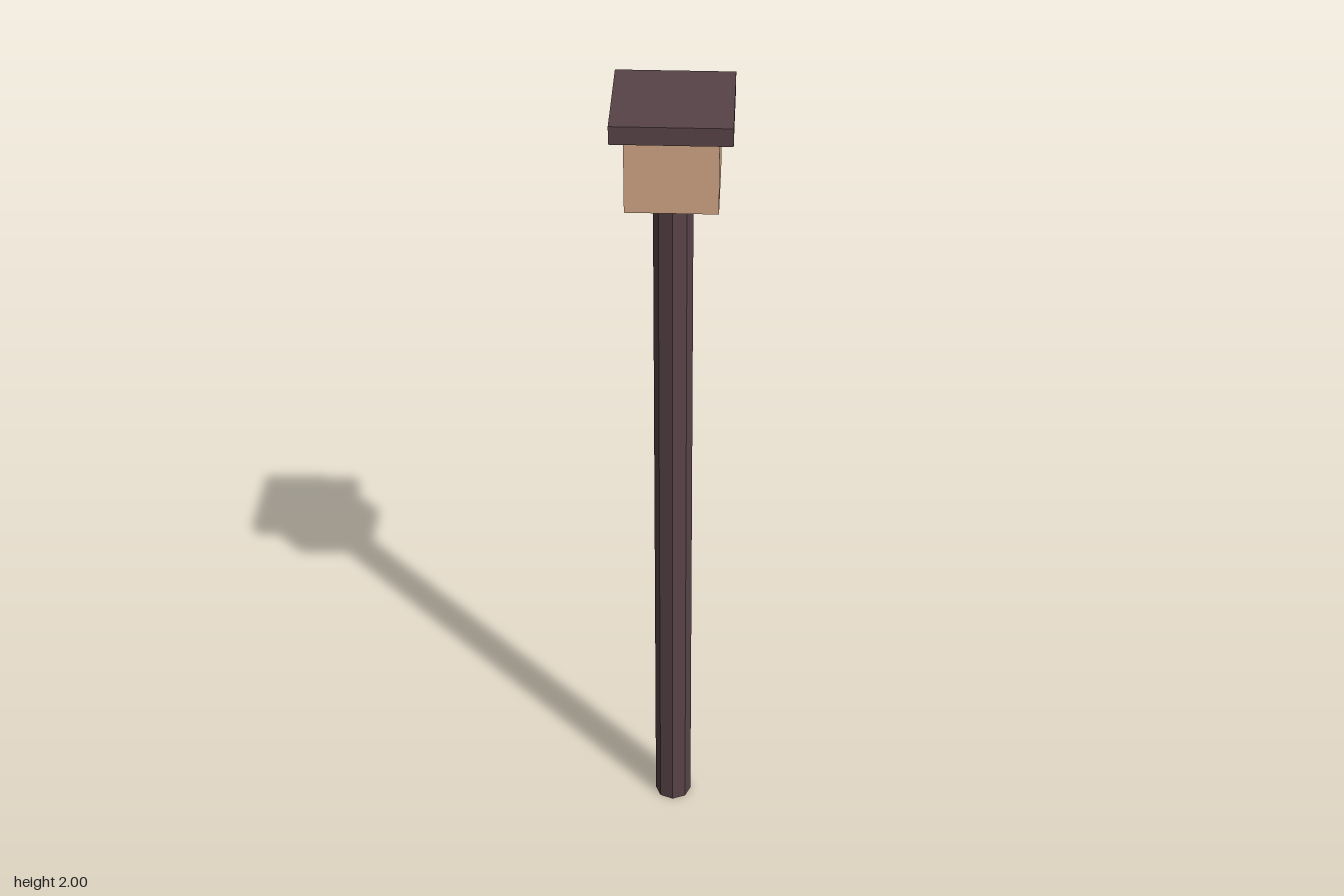
import * as THREE from 'three';

export function createModel() {
  const model = new THREE.Group();
  const darkWood = new THREE.MeshStandardMaterial({ color: 0x584348 });
  darkWood.name = 'dark wood';
  const paleWood = new THREE.MeshStandardMaterial({ color: 0xd0a685 });
  paleWood.name = 'pale wood';

  // Adds a part spanning the heights y0 to y1
  const add = (name, geometry, material, y0, y1) => {
    const mesh = new THREE.Mesh(geometry, material);
    mesh.name = name;
    mesh.position.y = (y0 + y1) / 2;
    model.add(mesh);
  };
  const block = (width, y0, y1) => new THREE.BoxGeometry(width, y1 - y0, width);

  // Eight-sided pole with crisp facets
  const pole = new THREE.CylinderGeometry(0.045, 0.045, 1.78, 8).toNonIndexed();
  pole.computeVertexNormals();
  add('pole', pole, darkWood, 0, 1.78);

  // Square head with a wider lid just above it
  add('head', block(0.207, 1.775, 1.951), paleWood, 1.775, 1.951);
  add('lid', block(0.267, 1.957, 2), darkWood, 1.957, 2);

  return model;
}
